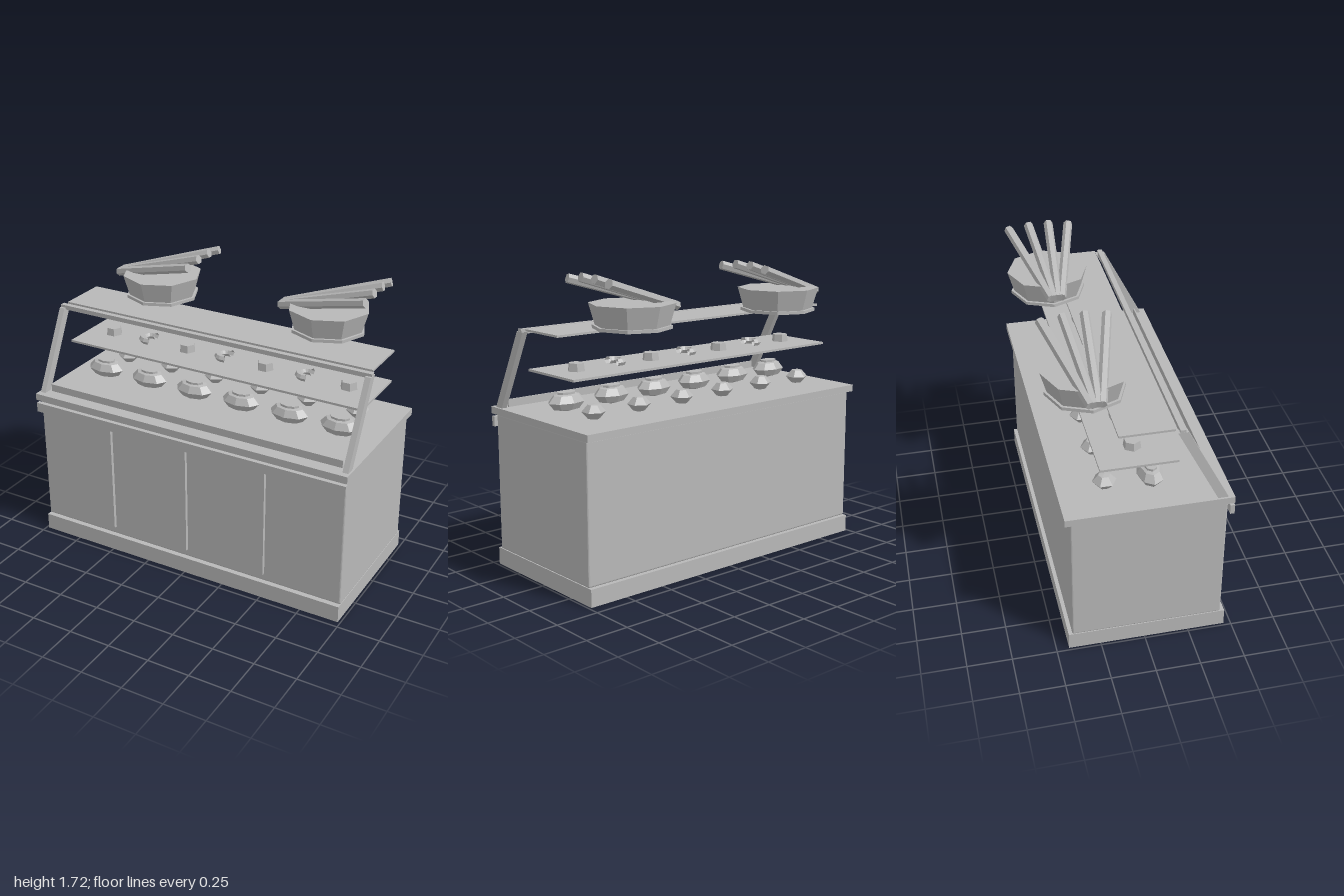
import * as THREE from 'three';
import { RoundedBoxGeometry } from 'three/addons/geometries/RoundedBoxGeometry.js';

export function createModel() {
  const model = new THREE.Group();
  model.name = 'bakeryCounter';
  const grey = new THREE.MeshStandardMaterial({ color: 0xb8b8b8, flatShading: true, side: THREE.DoubleSide });
  grey.name = 'plain grey';

  const add = (name, geometry, x = 0, y = 0, z = 0, parent = model) => {
    const mesh = new THREE.Mesh(geometry, grey);
    mesh.name = name;
    mesh.position.set(x, y, z);
    parent.add(mesh);
    return mesh;
  };
  // box given by its limits on each axis
  const box = (name, x0, x1, y0, y1, z0, z1) =>
    add(name, new THREE.BoxGeometry(x1 - x0, y1 - y0, z1 - z0), (x0 + x1) / 2, (y0 + y1) / 2, (z0 + z1) / 2);
  // straight six-sided rod between two points
  const rod = (name, a, b, r, parent) => {
    const dir = b.clone().sub(a);
    const mesh = add(name, new THREE.CylinderGeometry(r, r, dir.length(), 6), 0, 0, 0, parent);
    mesh.position.copy(a).add(b).multiplyScalar(0.5);
    mesh.quaternion.setFromUnitVectors(new THREE.Vector3(0, 1, 0), dir.normalize());
  };

  // cabinet
  box('plinth', -0.985, 0.985, 0, 0.1, -0.43, 0.46);
  add('cabinet', new RoundedBoxGeometry(1.97, 0.79, 0.846, 2, 0.01), 0, 0.495, 0.013);
  box('countertop', -1, 1, 0.89, 0.93, -0.44, 0.468);
  box('frontRail', -0.995, 0.995, 0.816, 0.873, 0.446, 0.471);
  for (const x of [-0.5, 0, 0.5]) box('frontDivider', x - 0.013, x + 0.013, 0.15, 0.838, 0.43, 0.457);

  // display frame and shelves
  const slant = new THREE.Shape([[0.377, 0.93], [0.434, 0.93], [0.2, 1.383], [0.145, 1.383]]
    .map(([z, y]) => new THREE.Vector2(z, y)));
  for (const x of [-0.972, 0.972]) {
    const post = new THREE.ExtrudeGeometry(slant, { depth: 0.033, bevelEnabled: false });
    post.rotateY(-Math.PI / 2);
    add('slantedPost', post, x + 0.0165);
  }
  box('topRail', -0.988, 0.988, 1.372, 1.398, 0.157, 0.187);
  box('frontLip', -0.938, 0.938, 0.93, 0.974, 0.384, 0.392);
  box('topShelf', -0.973, 0.973, 1.388, 1.4, -0.155, 0.138);
  box('middleShelf', -0.938, 0.938, 1.163, 1.176, -0.242, 0.173);

  // loaves and buns on the counter
  const bunProfile = [[0, -0.041], [0.033, -0.038], [0.066, 0], [0.033, 0.038], [0, 0.041]]
    .map(([r, y]) => new THREE.Vector2(r, y));
  for (let i = 0; i < 6; i++) {
    const x = (i - 2.5) * 0.308;
    add('loaf', new THREE.SphereGeometry(0.073, 8, 4).scale(1.6, 0.75, 1), x, 0.991, 0.064);
    add('loafTop', new THREE.CylinderGeometry(0.036, 0.036, 0.02, 8).scale(1.6, 1, 1), x, 1.037, 0.064);
    add('bun', new THREE.LatheGeometry(bunProfile, 6), x, 0.977, -0.184);
  }

  // small cakes and crescents on the middle shelf
  for (let i = 0; i < 7; i++) {
    const x = (i - 3) * 0.257;
    if (i % 2 === 0) {
      const cake = add('smallCake', new THREE.CylinderGeometry(0.044, 0.05, 0.044, 6), x, 1.198, -0.036);
      cake.rotation.y = Math.PI / 2;
    } else {
      const arc = Math.PI * 1.2;
      const crescent = new THREE.TorusGeometry(0.046, 0.021, 6, 8, arc);
      crescent.rotateZ(Math.PI - arc / 2).rotateX(-Math.PI / 2);
      add('crescent', crescent, x, 1.198, -0.036);
    }
  }

  // bread baskets with fanned sticks
  for (const x of [-0.545, 0.545]) {
    const basket = new THREE.Group();
    basket.name = 'breadBasket';
    basket.position.set(x, 0, -0.235);
    model.add(basket);
    add('basketBase', new THREE.CylinderGeometry(0.217, 0.217, 0.018, 8), 0, 1.415, 0, basket);
    add('basketBowl', new THREE.CylinderGeometry(0.236, 0.2, 0.125, 8), 0, 1.48, 0, basket);
    for (const [z0, z1, y1] of [[0.029, 0.18, 1.677], [0.011, 0.06, 1.692], [-0.011, -0.06, 1.692], [-0.029, -0.18, 1.677]]) {
      rod('breadStick', new THREE.Vector3(-0.288, 1.506, z0), new THREE.Vector3(0.288, y1, z1), 0.027, basket);
    }
  }
  return model;
}
